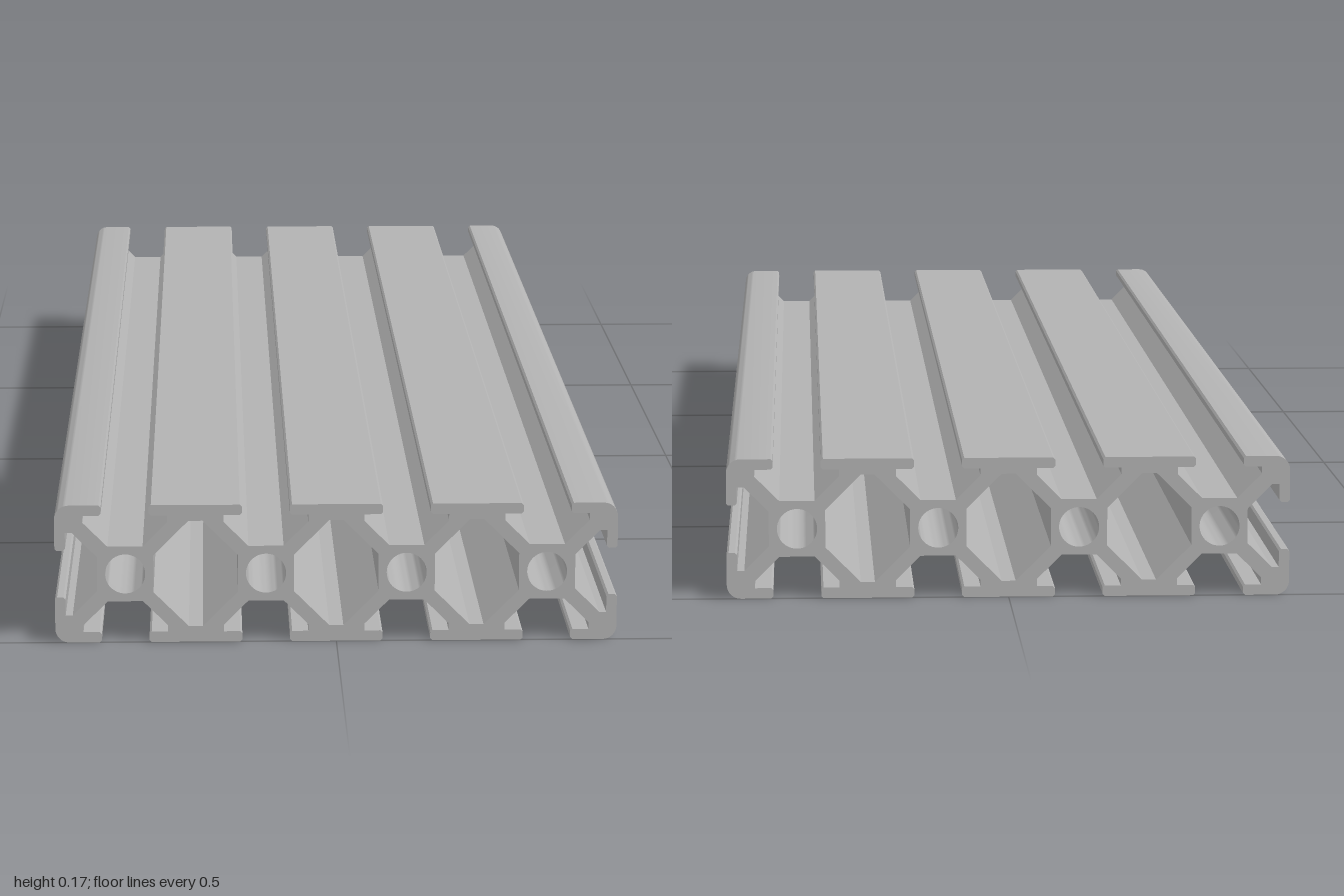
import * as THREE from 'three';
import { toCreasedNormals } from 'three/addons/utils/BufferGeometryUtils.js';

const UNIT = 1 / 120; // profile is drawn in a 20-unit cell, four cells wide
const CELLS = [-30, -10, 10, 30];

// T-slot section: [along the side, outward from the cell centre]
const HALF_SLOT = [[3.4, 9.7], [3.4, 8.8], [3.7, 8.5], [6, 8.5], [6, 7.5], [2.5, 4]];
const SLOT = [
  [-3.7, 10], ...HALF_SLOT.map(([u, v]) => [-u, v]),
  ...[...HALF_SLOT].reverse(), [3.7, 10],
];

// Slot points on the side turned by quarter turns from the bottom
function slotPoints(cx, quarter) {
  const turn = quarter * Math.PI / 2;
  return SLOT.map(([u, v]) =>
    new THREE.Vector2(u, -v).rotateAround(new THREE.Vector2(), turn).add(new THREE.Vector2(cx, 0)));
}

function roundedCorner(quarter) {
  const sx = quarter === 0 || quarter === 1 ? 1 : -1;
  const sy = quarter === 1 || quarter === 2 ? 1 : -1;
  const start = (quarter - 1) * Math.PI / 2;
  return Array.from({ length: 9 }, (_, i) => {
    const a = start + (i / 8) * Math.PI / 2;
    return new THREE.Vector2(sx * 38 + 2 * Math.cos(a), sy * 8 + 2 * Math.sin(a));
  });
}

function createProfile() {
  // Outer outline, counter-clockwise from the bottom left
  const outline = [
    ...CELLS.flatMap((x) => slotPoints(x, 0)), ...roundedCorner(0),
    ...slotPoints(30, 1), ...roundedCorner(1),
    ...[...CELLS].reverse().flatMap((x) => slotPoints(x, 2)), ...roundedCorner(2),
    ...slotPoints(-30, 3), ...roundedCorner(3),
  ];
  const shape = new THREE.Shape(outline);

  // Round bores through the hubs
  for (const x of CELLS) {
    shape.holes.push(new THREE.Path().absarc(x, 0, 2.85, 0, Math.PI * 2, true));
  }
  // Eight-sided cavities between the hubs
  for (const x of [-20, 0, 20]) {
    const corners = [[6, 2.7], [6, -2.7], [1, -7.7], [-1, -7.7], [-6, -2.7], [-6, 2.7], [-1, 7.7], [1, 7.7]];
    shape.holes.push(new THREE.Path(corners.map(([u, v]) => new THREE.Vector2(x + u, v))));
  }
  return shape;
}

export function createModel() {
  const group = new THREE.Group();
  group.name = 'slottedRail';

  const aluminium = new THREE.MeshStandardMaterial({ color: 0xb2b2b2 });
  aluminium.name = 'aluminium';

  // Full-length extrusion
  const geometry = new THREE.ExtrudeGeometry(createProfile(), {
    depth: 240, bevelEnabled: false, curveSegments: 20,
  });
  geometry.translate(0, 10, -120);
  geometry.scale(UNIT, UNIT, UNIT);

  const rail = new THREE.Mesh(toCreasedNormals(geometry, 0.5), aluminium);
  rail.name = 'railExtrusion';
  group.add(rail);
  return group;
}
